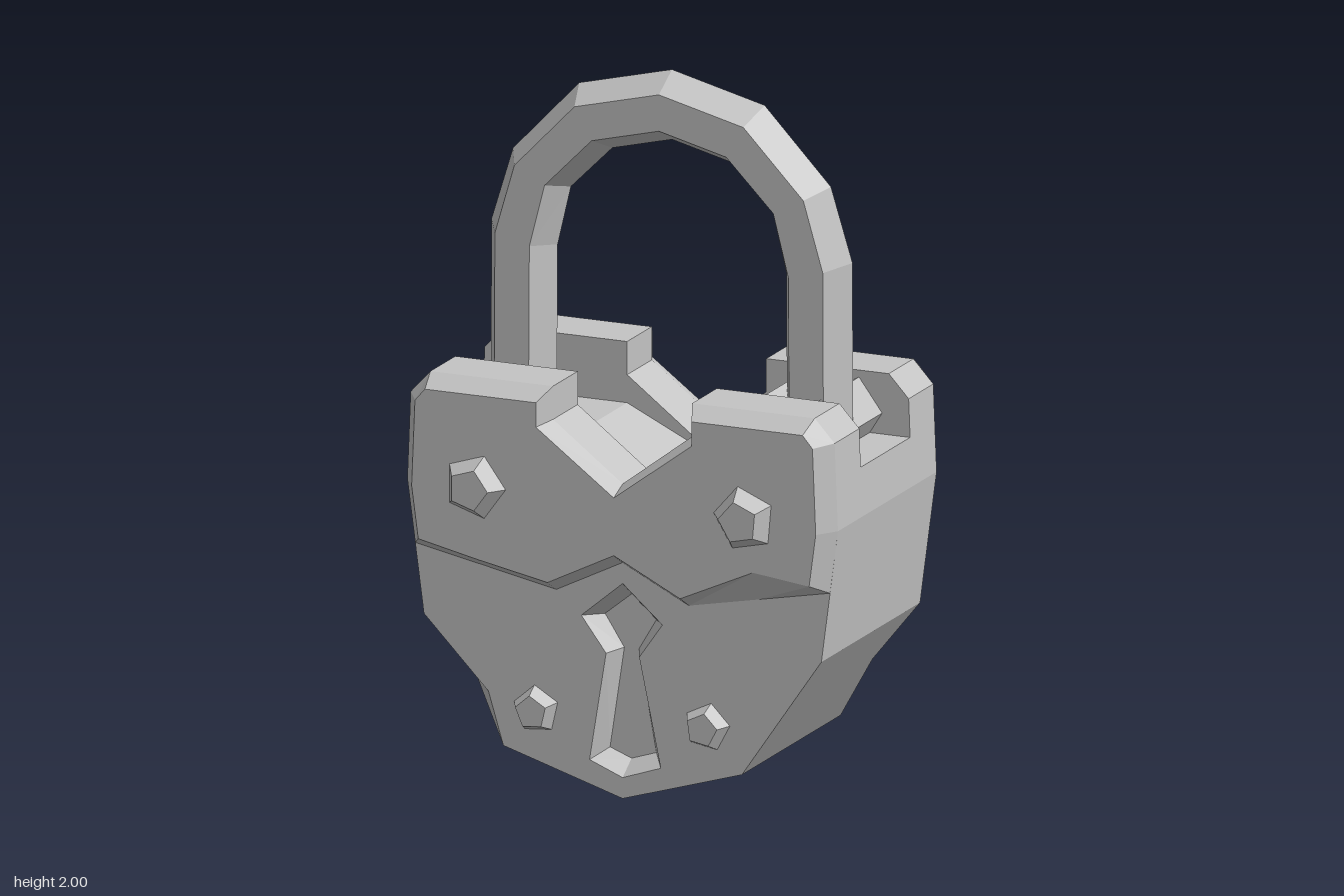
import * as THREE from 'three';

const steel = new THREE.MeshStandardMaterial({ color: 0xc4c4c4 });
steel.name = 'grey steel';

const V = (x, y, z) => new THREE.Vector3(x, y, z);
const atZ = (pts, z) => pts.map(([x, y]) => V(x, y, z));

// Skin a row of closed loops with flat facets; optional caps on first and last loop.
function loft(loops, { start = false, end = false, hole = null } = {}) {
  const pos = [];
  const tri = (a, b, c) => {
    const area = b.clone().sub(a).cross(c.clone().sub(a)).length();
    if (area > 1e-7) for (const p of [a, b, c]) pos.push(p.x, p.y, p.z);
  };
  for (let k = 0; k + 1 < loops.length; k++) {
    const A = loops[k], B = loops[k + 1], n = A.length;
    for (let i = 0; i < n; i++) {
      const j = (i + 1) % n;
      tri(A[i], A[j], B[j]);
      tri(A[i], B[j], B[i]);
    }
  }
  const cap = (loop, flip, holes) => {
    const flat = (l) => l.map((p) => new THREE.Vector2(p.x, p.y));
    const all = [loop, ...holes].flat();
    for (const f of THREE.ShapeUtils.triangulateShape(flat(loop), holes.map(flat))) {
      let [a, b, c] = f.map((i) => all[i]);
      const up = (b.x - a.x) * (c.y - a.y) - (b.y - a.y) * (c.x - a.x) > 0;
      if (up === flip) [b, c] = [c, b];
      tri(a, b, c);
    }
  };
  if (start) cap(loops[0], true, []);
  if (end) cap(loops[loops.length - 1], false, hole ? [hole] : []);
  const geo = new THREE.BufferGeometry();
  geo.setAttribute('position', new THREE.Float32BufferAttribute(pos, 3));
  geo.computeVertexNormals();
  return geo;
}

function add(parent, geo, name) {
  const mesh = new THREE.Mesh(geo, steel);
  mesh.name = name;
  parent.add(mesh);
  return mesh;
}

// Keyhole outlines, counter-clockwise: rim on the face and smaller floor
const keyRim = [[0, .06], [.115, .1], [.05, .41], [.12, .51], [0, .615], [-.125, .51], [-.05, .41], [-.1, .1]];
const keyFloor = [[0, .1], [.075, .125], [.022, .415], [.075, .505], [0, .57], [-.08, .505], [-.022, .415], [-.065, .125]];

// Core body with a chipped corner at front left and, turned round, at the back
function addBody(group) {
  const right = [[.36, .11], [.497, .31], [.6, .46], [.65, .84], [.6444, .98], [.21, .98]];
  const left = right.map(([x, y]) => [-x, y]).reverse();
  const outline = [[0, 0], ...right, [0, .88], ...left];
  const loop = (z, index, point) => {
    const l = atZ(outline, z);
    l[index] = point;
    return l;
  };
  const body = loft([
    loop(-.33, 2, V(.405, .26, -.33)),
    loop(-.33, 2, V(.497, .31, -.24)),
    loop(.33, 12, V(-.497, .31, .24)),
    loop(.33, 12, V(-.405, .26, .33)),
  ], { start: true, end: true, hole: atZ(keyRim, .33) });
  add(group, body, 'body');

  // Sloped walls and floor of the keyhole, facing inwards
  const rim = atZ(keyRim, .33), floor = atZ(keyFloor, .27);
  add(group, loft([floor, rim].map((l) => l.slice().reverse())), 'keyholeWalls');
  add(group, loft([floor], { end: true }), 'keyholeFloor');
}

// Bevelled upper plate and rivets for one side
function makeSide() {
  const side = new THREE.Group();
  const outer = [
    [0, .675], [.2, .575], [.41, .617], [.626, .66], [.65, .84], [.64, 1.09], [.58, 1.155], [.21, 1.155], [.21, 1.06],
    [0, .9],
    [-.21, 1.06], [-.21, 1.155], [-.58, 1.155], [-.64, 1.09], [-.65, .84], [-.626, .66], [-.41, .617], [-.2, .575],
  ];
  const inner = [
    [0, .71], [.2, .61], [.42, .71], [.59, .69], [.61, .84], [.6, 1.085], [.57, 1.12], [.235, 1.12], [.235, 1.05],
    [0, .875],
    [-.235, 1.05], [-.235, 1.12], [-.57, 1.12], [-.6, 1.085], [-.61, .84], [-.59, .69], [-.41, .651], [-.2, .61],
  ];
  add(side, loft([atZ(outer, .165), atZ(outer, .33), atZ(inner, .39)], { start: true, end: true }), 'upperPlate');

  // x, y, base z, base radius, top radius, height, angle of one corner
  const rivets = [
    [-.42, .86, .39, .108, .06, .047, 0],
    [.395, .86, .39, .108, .06, .047, 175],
    [-.26, .225, .33, .08, .048, .04, 95],
    [.255, .235, .33, .08, .048, .04, 80],
  ];
  for (const [x, y, z, r, top, h, angle] of rivets) {
    const geo = new THREE.CylinderGeometry(top, r, h + .02, 5).toNonIndexed();
    geo.rotateX(Math.PI / 2);
    geo.rotateZ(THREE.MathUtils.degToRad(angle + 90));
    geo.computeVertexNormals();
    add(side, geo, 'rivet').position.set(x, y, z + h / 2 - .01);
  }
  return side;
}

// Six-sided shackle swept between an outer and an inner ridge
function addShackle(group) {
  const half = [
    [[.547, .96], [.348, .96]],
    [[.545, 1.51], [.345, 1.46]],
    [[.48, 1.72], [.305, 1.63]],
    [[.28, 1.93], [.18, 1.755]],
  ];
  const mirrored = half.map((s) => s.map(([x, y]) => [-x, y])).reverse();
  const stations = [...half, [[0, 2], [0, 1.8]], ...mirrored];
  const loops = stations.map(([o, i]) => {
    const at = (t, z) => V(o[0] + (i[0] - o[0]) * t, o[1] + (i[1] - o[1]) * t, z);
    return [at(0, 0), at(.25, -.088), at(.77, -.088), at(1, 0), at(.77, .088), at(.25, .088)];
  });
  add(group, loft(loops), 'shackle');
}

export function createModel() {
  const group = new THREE.Group();
  group.name = 'padlock';
  addBody(group);

  const front = makeSide();
  front.name = 'frontSide';
  const back = makeSide();
  back.name = 'backSide';
  back.rotation.y = Math.PI;
  group.add(front, back);

  addShackle(group);

  // Raised socket around the free leg, sitting between the plates
  const socket = [[.3, .96], [.51, .96], [.56, 1.04], [.49, 1.135], [.41, 1.09], [.33, 1.135]];
  add(group, loft([atZ(socket, -.165), atZ(socket, .165)], { start: true, end: true }), 'legSocket');
  return group;
}
